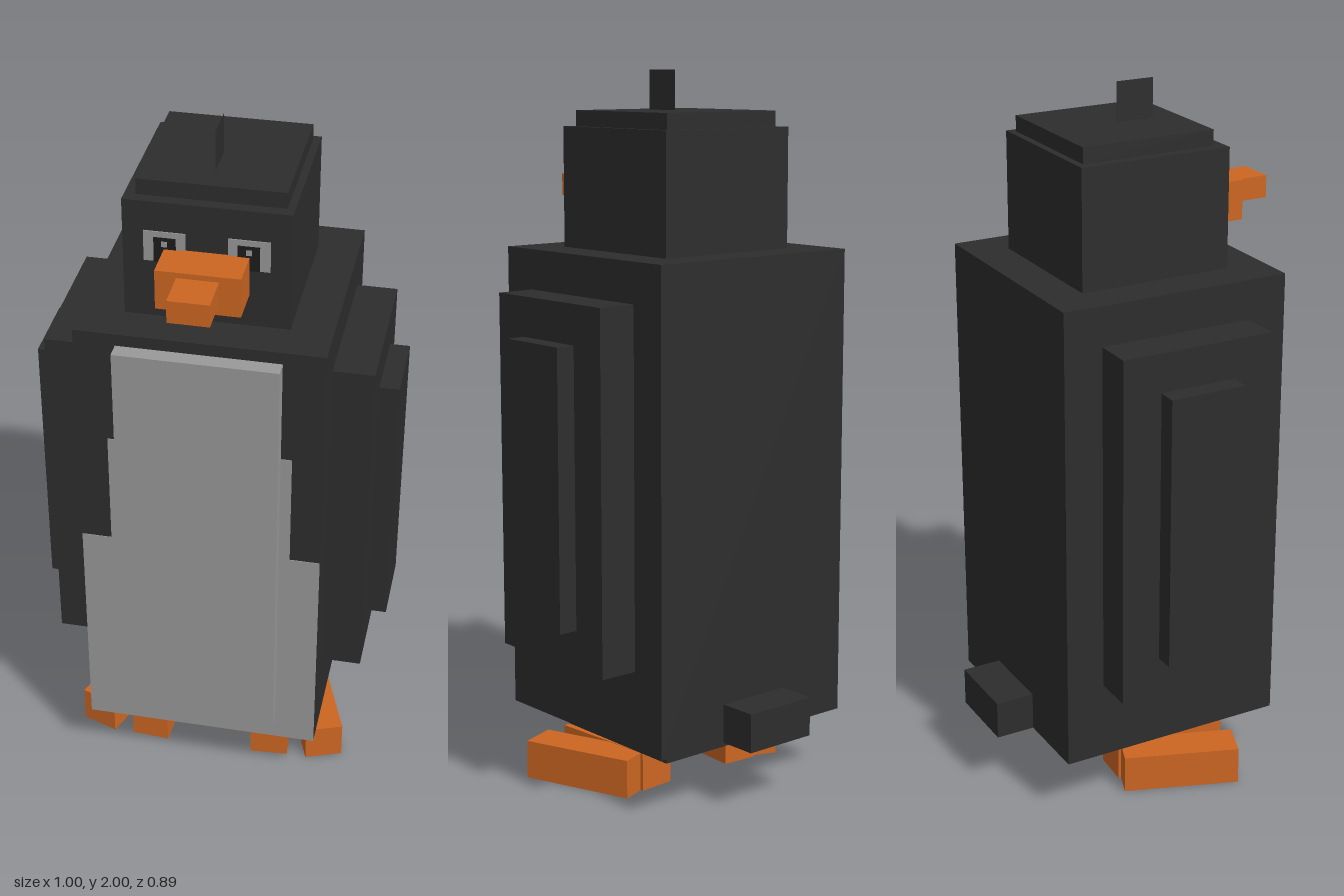
import * as THREE from 'three';

const mat = (name, color, side = THREE.FrontSide) => {
  const m = new THREE.MeshStandardMaterial({ color, side });
  m.name = name;
  return m;
};

export function createModel() {
  const model = new THREE.Group();
  model.name = 'penguin';
  const black = mat('black feathers', 0x2d2d2d, THREE.DoubleSide);
  const grey = mat('pale feathers', 0x999999);
  const orange = mat('orange', 0xcc6622);
  const pupilBlack = mat('pupil black', 0x1c1c1c);

  // Box given by its lower and upper bounds on each axis
  const box = (name, material, [x0, x1], [y0, y1], [z0, z1], parent = model) => {
    const mesh = new THREE.Mesh(new THREE.BoxGeometry(x1 - x0, y1 - y0, z1 - z0), material);
    mesh.position.set((x0 + x1) / 2, (y0 + y1) / 2, (z0 + z1) / 2);
    mesh.name = name;
    parent.add(mesh);
    return mesh;
  };
  const mirrored = (s, a, b) => (s > 0 ? [a, b] : [-b, -a]);

  // Body
  box('body', black, [-0.333, 0.333], [0.18, 1.512], [-0.333, 0.333]);
  box('bodyBase', black, [-0.22, 0.22], [0.113, 0.18], [-0.22, 0.22]);
  box('tail', black, [-0.111, 0.111], [0.18, 0.29], [-0.445, -0.333]);

  // Pale front: raised belly panel over two stepped flat patches
  box('belly', grey, [-0.22, 0.22], [0.258, 1.478], [0.333, 0.378]);
  box('lowerBellyPatch', grey, [-0.333, 0.333], [0.18, 0.845], [0.332, 0.335]);
  box('upperBellyPatch', grey, [-0.25, 0.25], [0.845, 1.18], [0.332, 0.335]);

  // Head, cap and flat crest
  box('head', black, [-0.22, 0.22], [1.512, 1.846], [-0.22, 0.22]);
  box('cap', black, [-0.19, 0.2], [1.846, 1.89], [-0.2, 0.188]);
  const crest = new THREE.Mesh(new THREE.PlaneGeometry(0.111, 0.11), black);
  crest.rotation.y = Math.PI / 2;
  crest.position.set(0, 1.945, 0.056);
  crest.name = 'crest';
  model.add(crest);

  // Beak
  box('beak', orange, [-0.111, 0.111], [1.604, 1.715], [0.22, 0.333]);
  box('beakTip', orange, [-0.055, 0.055], [1.637, 1.7], [0.333, 0.445]);

  for (const s of [1, -1]) {
    const side = s > 0 ? 'left' : 'right';

    // Eyes
    box(side + 'Eye', grey, mirrored(s, 0.055, 0.165), [1.677, 1.763], [0.219, 0.223]);
    box(side + 'Pupil', pupilBlack, mirrored(s, 0.08, 0.138), [1.677, 1.747], [0.22, 0.225]);
    box(side + 'EyeGlint', grey, mirrored(s, 0.102, 0.117), [1.722, 1.737], [0.222, 0.227]);

    // Stepped wings
    box(side + 'Wing', black, mirrored(s, 0.333, 0.445), [0.402, 1.4], [-0.222, 0.222]);
    box(side + 'WingOuter', black, mirrored(s, 0.445, 0.5), [0.513, 1.29], [-0.11, 0.11]);

    // Foot: two toes spreading forward from the heel
    const foot = new THREE.Group();
    foot.name = side + 'Foot';
    model.add(foot);
    const toes = [
      ['innerToe', 0.183, 0.226, 4, 0.111],
      ['outerToe', 0.347, 0.205, 20, 0.11],
    ];
    for (const [name, x, z, degrees, height] of toes) {
      const toe = box(name, orange, [-0.055, 0.055], [0, height], [-0.333, 0], foot);
      const a = THREE.MathUtils.degToRad(degrees);
      toe.rotation.y = s * a;
      toe.position.set(s * (x - Math.sin(a) * 0.1665), height / 2, z - Math.cos(a) * 0.1665);
    }
  }
  return model;
}
